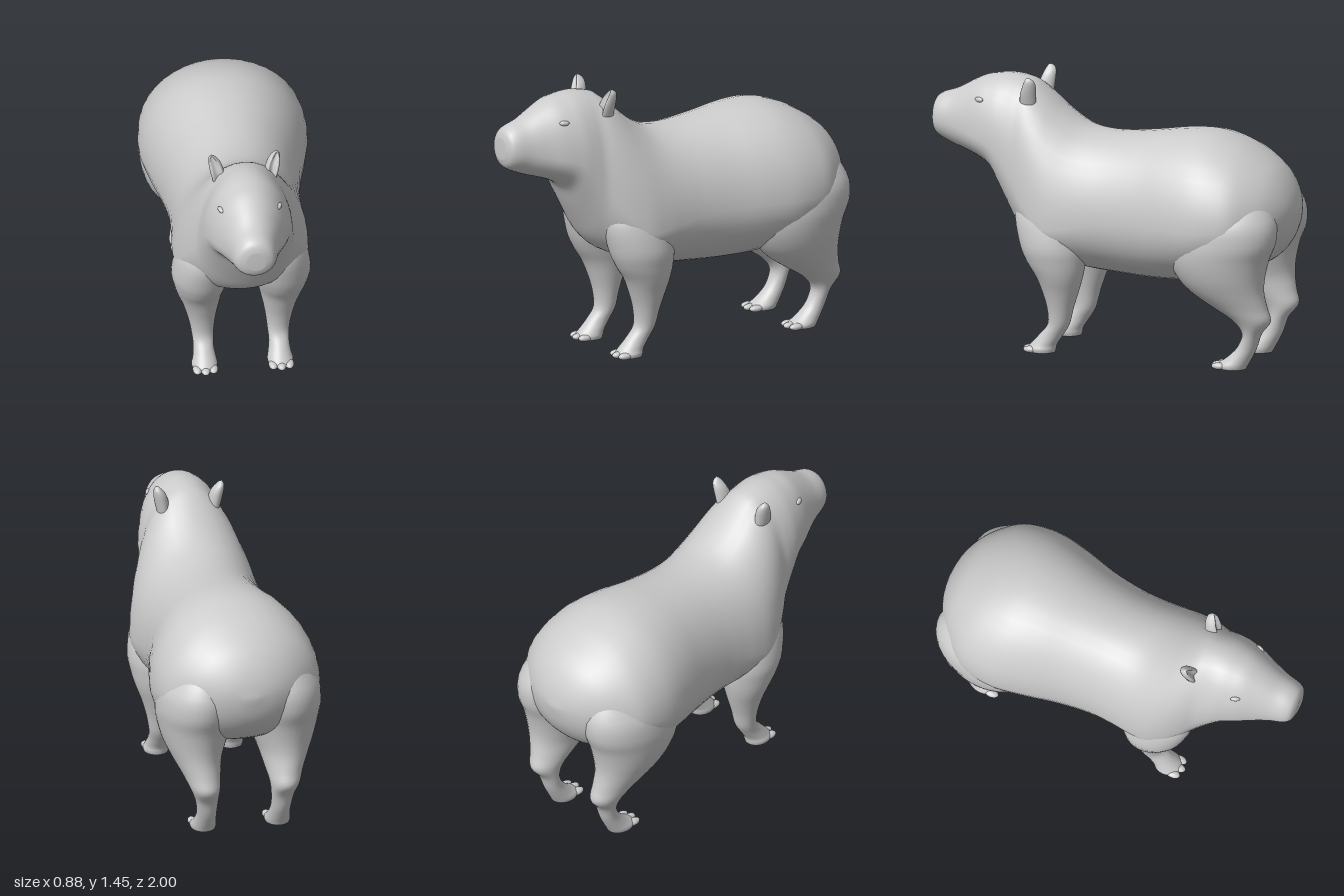
import * as THREE from 'three';

const material = new THREE.MeshStandardMaterial({ color: 0xcccccc, side: THREE.DoubleSide });
const SIDES = 40;

// Smoothly subdivide a table of cross-section rows
function subdivide(rows, steps) {
  const out = [];
  const at = i => rows[Math.min(Math.max(i, 0), rows.length - 1)];
  for (let i = 0; i < rows.length - 1; i++) {
    for (let s = 0; s < steps; s++) {
      const t = s / steps;
      out.push(rows[i].map((_, c) => {
        const [a, b, d, e] = [at(i - 1)[c], at(i)[c], at(i + 1)[c], at(i + 2)[c]];
        return b + 0.5 * t * (d - a + t * (2 * a - 5 * b + 4 * d - e + t * (3 * (b - d) + e - a)));
      }));
    }
  }
  out.push(rows[rows.length - 1]);
  return out;
}

// Skin closed rings of points and cap both ends, facing outwards
function loft(name, rings) {
  const pos = [], index = [], n = rings[0].length;
  rings.forEach(r => r.forEach(p => pos.push(p.x, p.y, p.z)));
  for (let i = 0; i < rings.length - 1; i++) {
    for (let j = 0; j < n; j++) {
      const k = (j + 1) % n, a = i * n, b = a + n;
      index.push(a + j, b + j, a + k, a + k, b + j, b + k);
    }
  }
  [0, rings.length - 1].forEach(r => {
    const c = new THREE.Vector3();
    rings[r].forEach(p => c.addScaledVector(p, 1 / n));
    const ci = pos.length / 3;
    pos.push(c.x, c.y, c.z);
    for (let j = 0; j < n; j++) {
      const a = r * n + j, b = r * n + (j + 1) % n;
      index.push(ci, ...(r === 0 ? [a, b] : [b, a]));
    }
  });
  // Flip the winding if the enclosed volume is negative
  let volume = 0;
  const v = i => new THREE.Vector3().fromArray(pos, index[i] * 3);
  for (let i = 0; i < index.length; i += 3) volume += v(i).dot(v(i + 1).cross(v(i + 2)));
  if (volume < 0) index.reverse();
  const g = new THREE.BufferGeometry();
  g.setAttribute('position', new THREE.Float32BufferAttribute(pos, 3));
  g.setIndex(index);
  g.computeVertexNormals();
  const mesh = new THREE.Mesh(g, material);
  mesh.name = name;
  return mesh;
}

function ring(fn) {
  return Array.from({ length: SIDES }, (_, j) => {
    const a = j / SIDES * Math.PI * 2;
    return new THREE.Vector3(...fn(Math.cos(a), Math.sin(a)));
  });
}

// Head, neck and trunk: z, bottom, top, half width, height of widest point
const BODY = [
  [1.0, 1.12, 1.23, 0.05, 1.17], [0.985, 1.08, 1.27, 0.09, 1.17], [0.95, 1.055, 1.295, 0.112, 1.16],
  [0.88, 1.025, 1.32, 0.13, 1.15], [0.8, 1.0, 1.365, 0.16, 1.13], [0.72, 0.97, 1.405, 0.195, 1.11],
  [0.65, 0.92, 1.42, 0.218, 1.09], [0.6, 0.82, 1.427, 0.232, 1.06], [0.55, 0.72, 1.427, 0.242, 1.0],
  [0.5, 0.63, 1.42, 0.255, 0.92], [0.44, 0.57, 1.4, 0.29, 0.83], [0.37, 0.53, 1.345, 0.325, 0.75],
  [0.28, 0.49, 1.265, 0.352, 0.69], [0.18, 0.455, 1.2, 0.352, 0.7], [0.08, 0.437, 1.172, 0.345, 0.72],
  [-0.05, 0.425, 1.168, 0.345, 0.74], [-0.22, 0.415, 1.187, 0.368, 0.75], [-0.4, 0.42, 1.213, 0.412, 0.76],
  [-0.55, 0.44, 1.215, 0.44, 0.76], [-0.68, 0.475, 1.18, 0.433, 0.77], [-0.78, 0.51, 1.13, 0.4, 0.78],
  [-0.88, 0.565, 1.06, 0.31, 0.8], [-0.94, 0.63, 0.99, 0.225, 0.81], [-0.98, 0.71, 0.91, 0.13, 0.82],
  [-1.0, 0.8, 0.83, 0.03, 0.82],
];

function buildBody() {
  const rows = subdivide(BODY, 4);
  return loft('body', rows.map(([z, bottom, top, w, mid]) => ring((c, s) => [
    w * Math.sign(c) * Math.pow(Math.abs(c), 0.95),
    mid + s * (s > 0 ? top - mid : mid - bottom),
    z,
  ])));
}

// Limbs and ears: y, inner x, outer x, back z, front z
const FRONT_LEG = [
  [0.92, 0.12, 0.22, 0.22, 0.4], [0.76, 0.06, 0.325, 0.12, 0.48], [0.6, 0.055, 0.362, 0.095, 0.455],
  [0.5, 0.075, 0.35, 0.1, 0.415], [0.42, 0.095, 0.328, 0.115, 0.365], [0.34, 0.113, 0.298, 0.138, 0.333],
  [0.25, 0.13, 0.272, 0.167, 0.308], [0.16, 0.14, 0.255, 0.19, 0.305], [0.1, 0.144, 0.25, 0.225, 0.35],
  [0.05, 0.135, 0.257, 0.258, 0.395], [0.025, 0.13, 0.265, 0.265, 0.415], [0.005, 0.135, 0.26, 0.27, 0.41],
];
const HIND_LEG = [
  [0.98, 0.12, 0.28, -0.85, -0.6], [0.82, 0.035, 0.405, -0.95, -0.43], [0.7, 0.03, 0.432, -0.957, -0.38],
  [0.6, 0.04, 0.424, -0.92, -0.375], [0.5, 0.07, 0.398, -0.898, -0.42], [0.42, 0.1, 0.363, -0.895, -0.49],
  [0.34, 0.12, 0.32, -0.91, -0.61], [0.27, 0.135, 0.288, -0.925, -0.72], [0.2, 0.142, 0.262, -0.873, -0.77],
  [0.12, 0.145, 0.25, -0.845, -0.74], [0.06, 0.138, 0.256, -0.815, -0.68],
  [0.025, 0.13, 0.265, -0.795, -0.63], [0.005, 0.135, 0.26, -0.785, -0.635],
];
const EAR = [
  [1.28, 0.1, 0.16, 0.4, 0.5], [1.35, 0.106, 0.178, 0.395, 0.495], [1.4, 0.122, 0.186, 0.393, 0.475],
  [1.43, 0.145, 0.186, 0.4, 0.458], [1.447, 0.163, 0.177, 0.42, 0.44],
];

// Stack of horizontal ovals; dent hollows the front face
function buildLimb(name, table, side, dent = 0) {
  return loft(name, subdivide(table, 4).map(([y, x0, x1, z0, z1]) => ring((c, s) => [
    side * ((x0 + x1) / 2 + c * (x1 - x0) / 2),
    y,
    (z0 + z1) / 2 + s * (z1 - z0) / 2 * (1 - dent * Math.pow(Math.max(s, 0), 4)),
  ])));
}

function ellipsoid(name, position, scale) {
  const mesh = new THREE.Mesh(new THREE.SphereGeometry(1, 20, 12), material);
  mesh.name = name;
  mesh.position.set(...position);
  mesh.scale.set(...scale);
  return mesh;
}

export function createModel() {
  const group = new THREE.Group();
  group.name = 'animal';
  group.add(buildBody());
  for (const side of [1, -1]) {
    const label = side > 0 ? 'left' : 'right';
    group.add(buildLimb(label + 'FrontLeg', FRONT_LEG, side));
    group.add(buildLimb(label + 'HindLeg', HIND_LEG, side));
    group.add(buildLimb(label + 'Ear', EAR, side, 0.7));

    // Small eye, set almost flush with the head
    const eye = ellipsoid(label + 'Eye', [side * 0.153, 1.305, 0.705], [0.012, 0.014, 0.026]);
    eye.rotation.y = side * -0.4;
    group.add(eye);

    // Three toes at the front of each foot
    for (const [foot, z] of [['Front', 0.39], ['Hind', -0.65]]) {
      for (const k of [-1, 0, 1]) {
        group.add(ellipsoid(label + foot + 'Toe',
          [side * (0.198 + k * 0.042), 0.02, z + (k === 0 ? 0.01 : -0.002)], [0.024, 0.018, 0.04]));
      }
    }
  }
  return group;
}
